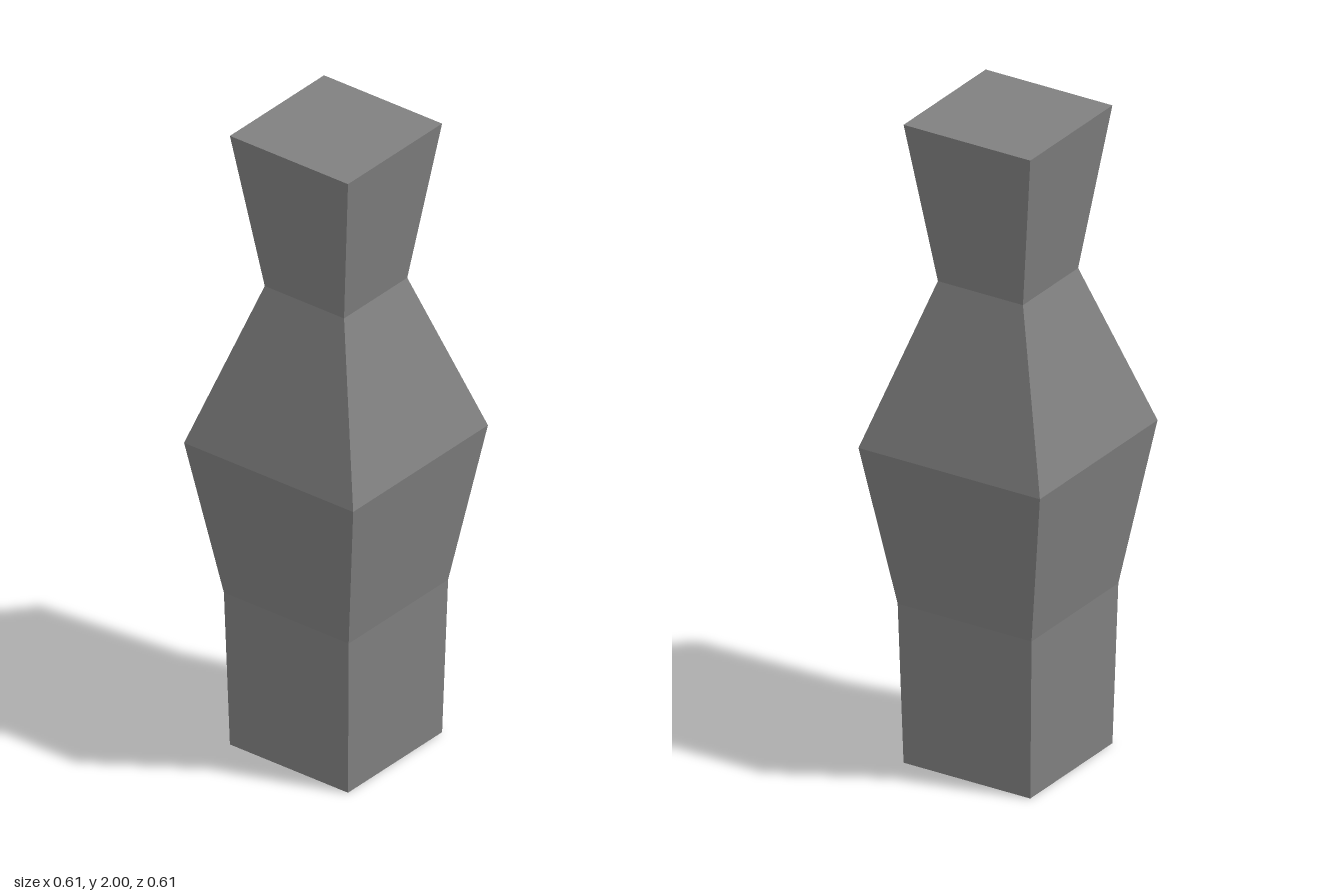
import * as THREE from 'three';

// [height, half width] of each square cross-section, bottom to top
const RINGS = [[0, 0.213], [0.5, 0.225], [1, 0.305], [1.5, 0.143], [2, 0.213]];

export function createModel() {
  const group = new THREE.Group();
  group.name = 'squareColumn';

  const grey = new THREE.MeshStandardMaterial({ color: 0x808080 });
  grey.name = 'grey';

  // One box with a height segment per tier; each ring is scaled to its width
  const geometry = new THREE.BoxGeometry(2, 2, 2, 1, RINGS.length - 1, 1);
  const pos = geometry.attributes.position;
  for (let i = 0; i < pos.count; i++) {
    const ring = Math.round((pos.getY(i) + 1) / 2 * (RINGS.length - 1));
    const [y, half] = RINGS[ring];
    pos.setXYZ(i, Math.sign(pos.getX(i)) * half, y, Math.sign(pos.getZ(i)) * half);
  }

  // Unshared corners keep every facet flat
  const faceted = geometry.toNonIndexed();
  faceted.computeVertexNormals();

  const body = new THREE.Mesh(faceted, grey);
  body.name = 'columnBody';
  group.add(body);
  return group;
}
